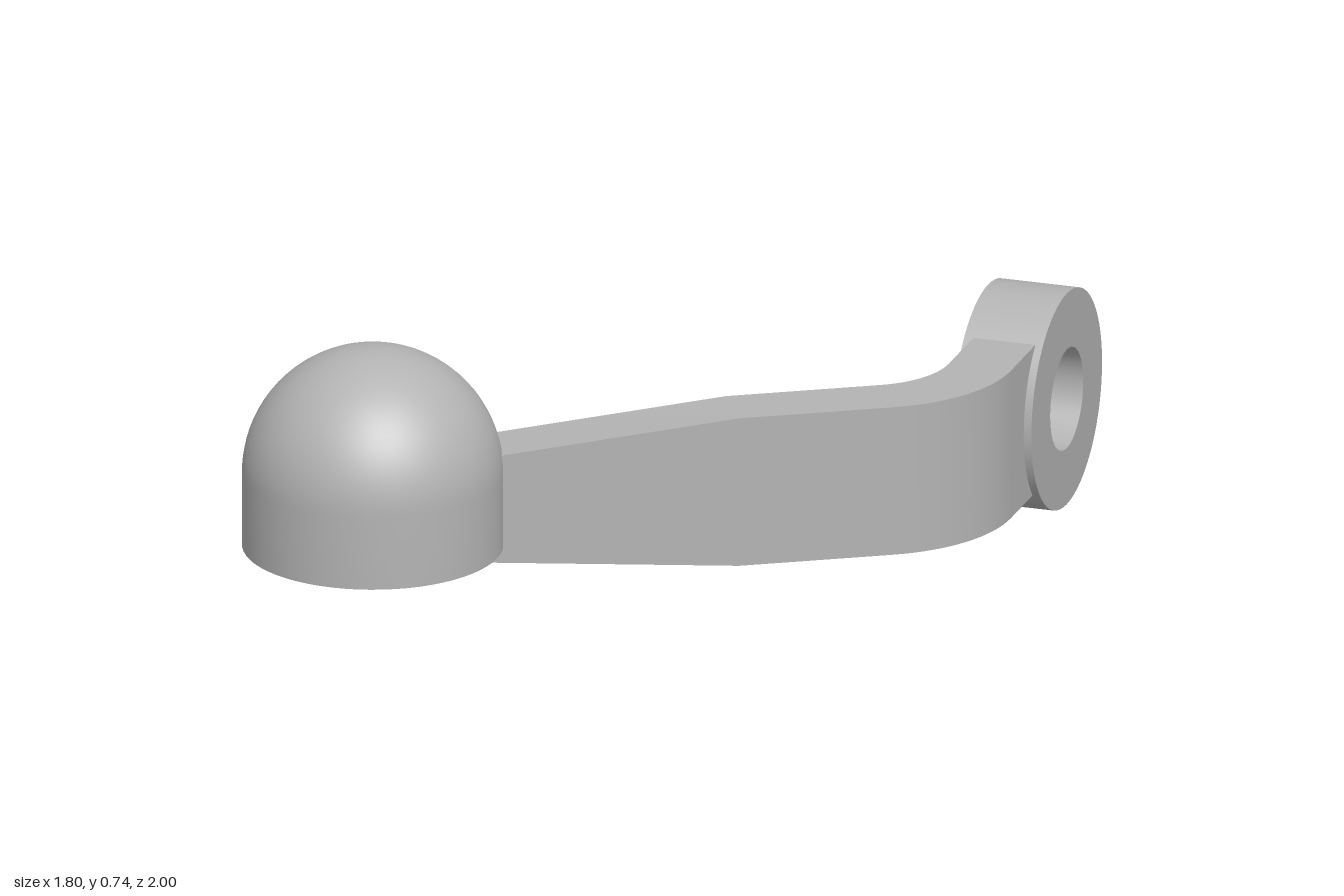
import * as THREE from 'three';
import { toCreasedNormals } from 'three/addons/utils/BufferGeometryUtils.js';

const CREASE = 0.5;

function addPart(group, name, geometry, material) {
  const mesh = new THREE.Mesh(toCreasedNormals(geometry, CREASE), material);
  mesh.name = name;
  group.add(mesh);
  return mesh;
}

// Lathe from [radius, height] pairs
function lathe(points, segments) {
  return new THREE.LatheGeometry(points.map(([r, y]) => new THREE.Vector2(r, y)), segments);
}

// Rectangular bar swept along a bent path: straight, 60 degree bend, straight taper
function armGeometry() {
  const bendX = 0.465, bendZ = -0.305, inner = 0.24, outer = 0.41;
  const low = 0.1, high = 0.51, taper = 0.085;
  const stations = [];
  // angle: turn so far, along: distance past the bend point, inset: taper at top and bottom
  const station = (angle, along, inset) => {
    const c = Math.cos(angle), s = Math.sin(angle);
    const at = (r, y) => [bendX + r * c - along * s, y, bendZ + r * s + along * c];
    stations.push([
      at(inner, low + inset), at(outer, low + inset),
      at(outer, high - inset), at(inner, high - inset),
    ]);
  };
  const turn = Math.PI / 3, steps = 16;
  station(0, -0.225, 0);
  for (let i = 0; i <= steps; i++) station(turn * i / steps, 0, 0);
  station(turn, 0.41, 0);
  station(turn, 1.37, taper);

  const positions = [];
  const quad = (a, b, c, d) => positions.push(...a, ...b, ...c, ...a, ...c, ...d);
  for (let i = 0; i < stations.length - 1; i++) {
    const p = stations[i], q = stations[i + 1];
    for (let j = 0; j < 4; j++) {
      const k = (j + 1) % 4;
      quad(p[j], p[k], q[k], q[j]);
    }
  }
  const first = stations[0], last = stations[stations.length - 1];
  quad(first[3], first[2], first[1], first[0]);
  quad(last[0], last[1], last[2], last[3]);

  const geometry = new THREE.BufferGeometry();
  geometry.setAttribute('position', new THREE.Float32BufferAttribute(positions, 3));
  return geometry;
}

export function createModel() {
  const group = new THREE.Group();
  group.name = 'crankHandle';
  const grey = new THREE.MeshStandardMaterial({ color: 0xb3b3b3 });
  grey.name = 'grey';

  // Domed knob: short cylinder with a hemispherical top
  const radius = 0.341, shoulder = 0.2;
  const profile = [[0, 0], [radius, 0]];
  for (let i = 0; i <= 20; i++) {
    const a = (Math.PI / 2) * i / 20;
    profile.push([i === 20 ? 0 : radius * Math.cos(a), shoulder + radius * Math.sin(a)]);
  }
  const knob = addPart(group, 'knob', lathe(profile, 64), grey);
  knob.position.set(-0.558, 0.2, 0.657);

  // Bent, tapering arm
  addPart(group, 'arm', armGeometry(), grey);

  // Mounting ring with a through hole along x
  const R = 0.293, r = 0.137, half = 0.108;
  const ringProfile = [[r, -half], [R, -half], [R, half], [r, half], [r, -half]];
  const ring = addPart(group, 'mountingRing', lathe(ringProfile, 64), grey);
  ring.rotation.z = Math.PI / 2;
  ring.position.set(0.788, 0.293, -0.705);

  return group;
}
